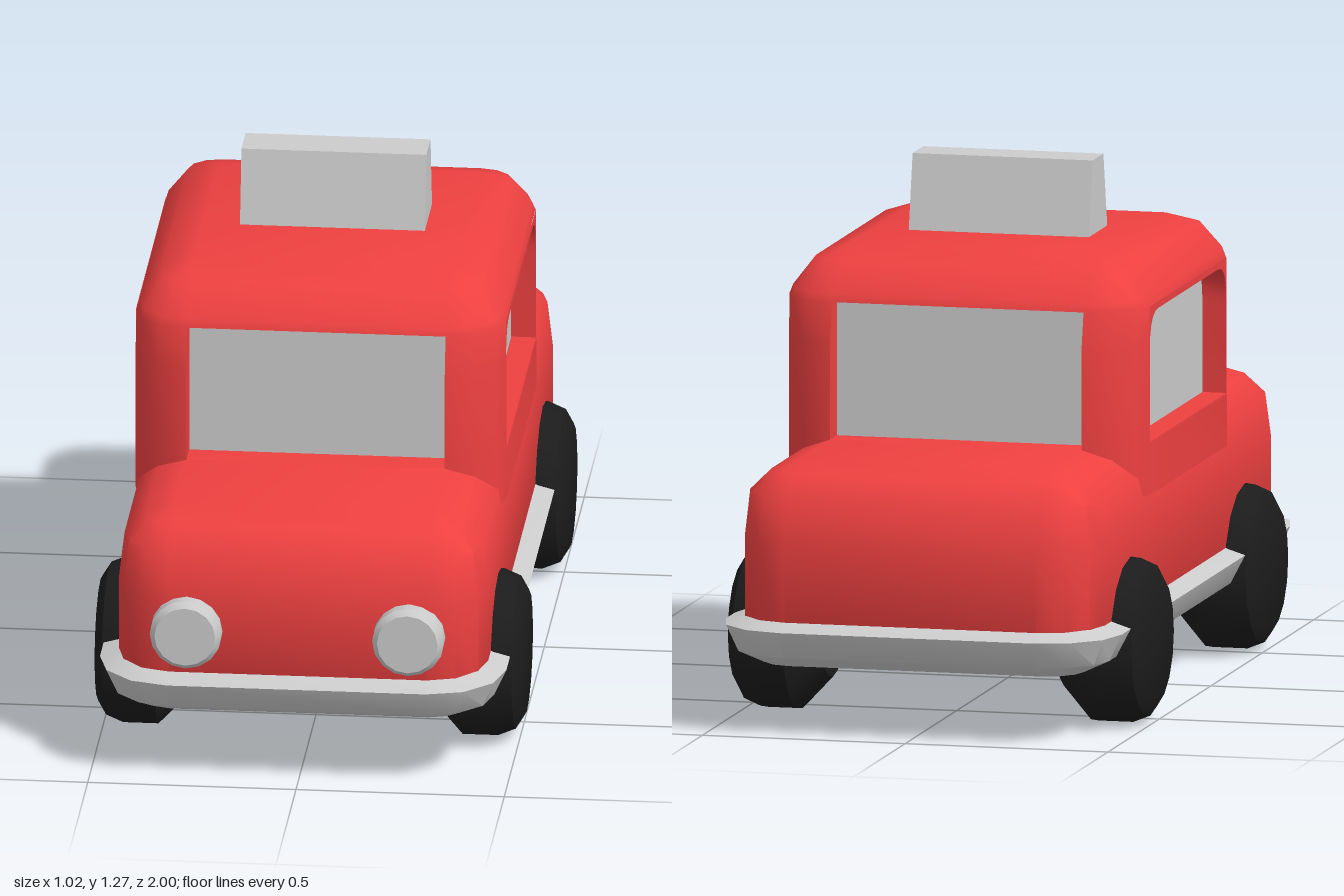
import * as THREE from 'three';
import { toCreasedNormals } from 'three/addons/utils/BufferGeometryUtils.js';

const paint = new THREE.MeshStandardMaterial({ color: 0xee4040 });
const paintThin = new THREE.MeshStandardMaterial({ color: 0xee4040, side: THREE.DoubleSide });
const grey = new THREE.MeshStandardMaterial({ color: 0xcccccc });
const greyThin = new THREE.MeshStandardMaterial({ color: 0xcccccc, side: THREE.DoubleSide });
const rubber = new THREE.MeshStandardMaterial({ color: 0x1c1c1c });

function add(parent, name, geometry, material) {
  const mesh = new THREE.Mesh(geometry, material);
  mesh.name = name;
  parent.add(mesh);
  return mesh;
}

// Stacks rounded rectangles; each level is [y, half width, half depth, straight half depth].
// Every ring has 4 points per corner, so segments 3, 7, 11, 15 are the flat sides.
const STRAIGHT_X = 0.31;
function loft(levels, { capStart = false, capEnd = false, skip = () => false, crease = 0.8 } = {}) {
  const pos = [], index = [], n = 16;
  for (const [y, hw, hd, iz] of levels) {
    for (let q = 0; q < 4; q++) {
      const sx = q === 0 || q === 3 ? 1 : -1, sz = q < 2 ? 1 : -1;
      for (let k = 0; k < 4; k++) {
        const a = (q + k / 3) * Math.PI / 2;
        pos.push(sx * STRAIGHT_X + (hw - STRAIGHT_X) * Math.cos(a), y, sz * iz + (hd - iz) * Math.sin(a));
      }
    }
  }
  for (let j = 0; j < levels.length - 1; j++) {
    for (let i = 0; i < n; i++) {
      if (skip(j, i)) continue;
      const a = j * n + i, b = j * n + (i + 1) % n;
      index.push(a, a + n, b + n, a, b + n, b);
    }
  }
  const last = (levels.length - 1) * n;
  for (let i = 1; i < n - 1; i++) {
    if (capStart) index.push(0, i, i + 1);
    if (capEnd) index.push(last, last + i + 1, last + i);
  }
  const g = new THREE.BufferGeometry();
  g.setAttribute('position', new THREE.Float32BufferAttribute(pos, 3));
  g.setIndex(index);
  return toCreasedNormals(g, crease);
}

// Recessed window facing +z: a reveal running from the rim back to a flat pane
function windowUnit(name, rim, paneZ) {
  const g = new THREE.Group();
  g.name = name;
  const pos = [], index = [], n = rim.length;
  rim.forEach(([x, y, z], i) => {
    pos.push(x, y, z, x, y, paneZ);
    const a = 2 * i, b = 2 * ((i + 1) % n);
    index.push(a, b, b + 1, a, b + 1, a + 1);
  });
  const reveal = new THREE.BufferGeometry();
  reveal.setAttribute('position', new THREE.Float32BufferAttribute(pos, 3));
  reveal.setIndex(index);
  add(g, 'windowReveal', toCreasedNormals(reveal, 0.6), paintThin);
  const pane = new THREE.Shape(rim.map(([x, y]) => new THREE.Vector2(x, y)));
  add(g, 'windowPane', new THREE.ShapeGeometry(pane), greyThin).position.z = paneZ;
  return g;
}

function lathe(profile, segments, crease) {
  const points = profile.map(([r, y]) => new THREE.Vector2(r, y));
  return toCreasedNormals(new THREE.LatheGeometry(points, segments), crease);
}

export function createModel() {
  const car = new THREE.Group();
  car.name = 'car';

  // Lower body with a shallow recessed floor
  add(car, 'body', loft([
    [0.21, 0.385, 0.895, 0.81], [0.165, 0.385, 0.895, 0.81], [0.165, 0.4, 0.91, 0.81],
    [0.21, 0.443, 0.953, 0.81], [0.46, 0.443, 0.953, 0.81], [0.57, 0.43, 0.925, 0.81],
    [0.62, 0.38, 0.87, 0.8], [0.645, 0.31, 0.79, 0.79],
  ], { capStart: true, capEnd: true }), paint);

  // Bumper strip all the way round
  add(car, 'bumper', loft([
    [0.16, 0.395, 0.905, 0.81], [0.19, 0.458, 0.968, 0.82],
    [0.255, 0.488, 1.0, 0.82], [0.274, 0.44, 0.95, 0.82],
  ], { crease: 0.7 }), greyThin);

  // Cabin shell, left open where the four windows sit
  add(car, 'cabin', loft([
    [0.52, 0.445, 0.51, 0.375], [0.645, 0.445, 0.51, 0.375], [0.88, 0.445, 0.51, 0.375],
    [0.975, 0.443, 0.488, 0.375], [0.995, 0.437, 0.48, 0.365], [1.063, 0.387, 0.407, 0.34],
    [1.09, 0.31, 0.31, 0.31],
  ], { capEnd: true, skip: (j, i) => (j === 1 || j === 2) && i % 4 === 3 }), paint);

  // Windscreen and rear window
  const w = STRAIGHT_X;
  const endRim = [
    [-w, 0.645, 0.51], [w, 0.645, 0.51], [w, 0.88, 0.51],
    [w, 0.975, 0.488], [-w, 0.975, 0.488], [-w, 0.88, 0.51],
  ];
  car.add(windowUnit('windscreen', endRim, 0.44));
  const rear = windowUnit('rearWindow', endRim, 0.44);
  rear.rotation.y = Math.PI;
  car.add(rear);

  // Side windows with rounded upper corners, set in flat frames
  const arch = new THREE.Shape();
  arch.moveTo(-0.372, 0.648);
  arch.lineTo(0.372, 0.648);
  arch.lineTo(0.372, 0.87);
  arch.quadraticCurveTo(0.372, 0.96, 0.29, 0.96);
  arch.lineTo(-0.29, 0.96);
  arch.quadraticCurveTo(-0.372, 0.96, -0.372, 0.87);
  const archPoints = arch.getPoints(5);
  const frame = new THREE.Shape([[-0.375, 0.645], [0.375, 0.645], [0.375, 0.976], [-0.375, 0.976]]
    .map(([x, y]) => new THREE.Vector2(x, y)));
  frame.holes.push(new THREE.Path(archPoints));
  for (const side of [1, -1]) {
    const win = windowUnit(side > 0 ? 'leftWindow' : 'rightWindow',
      archPoints.map((p) => [p.x, p.y, 0.444]), 0.385);
    add(win, 'windowFrame', new THREE.ShapeGeometry(frame), paintThin).position.z = 0.444;
    win.rotation.y = side * Math.PI / 2;
    car.add(win);
  }

  // Tapered roof sign
  const trapezoid = new THREE.Shape([[-0.098, 1.05], [0.098, 1.05], [0.052, 1.27], [-0.052, 1.27]]
    .map(([x, y]) => new THREE.Vector2(x, y)));
  const sign = new THREE.ExtrudeGeometry(trapezoid, { depth: 0.444, bevelEnabled: false });
  sign.translate(0, 0, -0.222).rotateY(Math.PI / 2);
  add(car, 'roofSign', sign, grey);

  // Wheels: rounded outer shoulder, tapered inner side
  const wheel = lathe([
    [0, 0.29], [0.12, 0.29], [0.2, 0.365], [0.2, 0.45], [0.183, 0.492], [0.15, 0.512], [0, 0.512],
  ], 16, 0.6);
  // Headlights
  const lamp = lathe([[0, -0.05], [0.086, -0.05], [0.086, 0.03], [0.073, 0.046], [0, 0.046]], 16, 0.6);
  for (const side of [1, -1]) {
    for (const end of [1, -1]) {
      const name = (end > 0 ? 'front' : 'rear') + (side > 0 ? 'Left' : 'Right') + 'Wheel';
      const m = add(car, name, wheel, rubber);
      m.position.set(0, 0.2, end * 0.556);
      m.rotation.z = -side * Math.PI / 2;
    }
    const l = add(car, side > 0 ? 'leftHeadlight' : 'rightHeadlight', lamp, grey);
    l.position.set(side * 0.267, 0.38, 0.953);
    l.rotation.x = Math.PI / 2;
  }
  return car;
}
